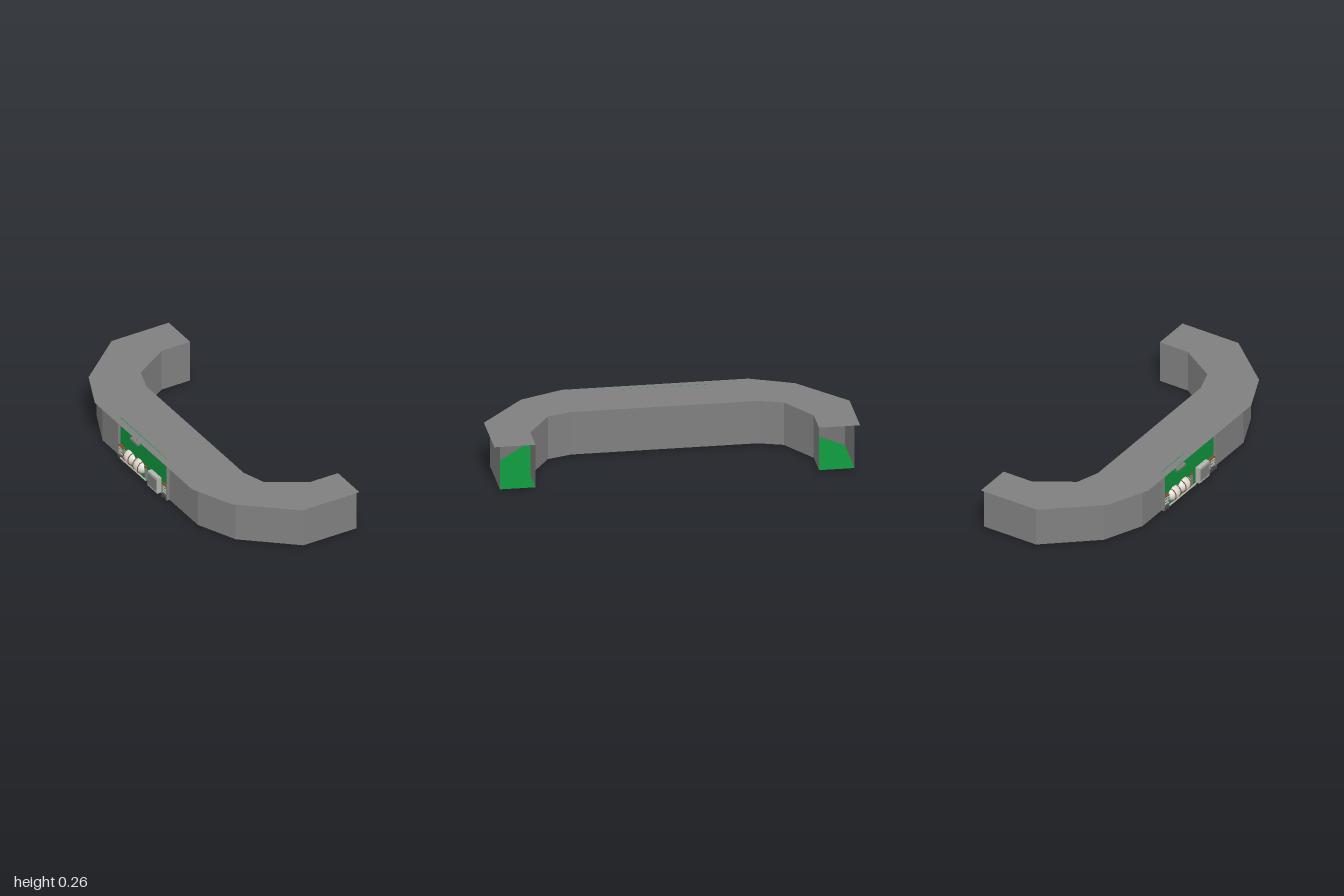
import * as THREE from 'three';

const mat = (name, color, side = THREE.FrontSide) => {
  const m = new THREE.MeshStandardMaterial({ color, side });
  m.name = name;
  return m;
};

export function createModel() {
  const root = new THREE.Group();
  root.name = 'curvedCorridor';
  const grey = mat('concreteGrey', 0x808080, THREE.DoubleSide);
  const green = mat('floorGreen', 0x0f8f3a, THREE.DoubleSide);
  const white = mat('tankWhite', 0xdcdcd8);
  const light = mat('cabinetGrey', 0xb4b4b0);
  const brown = mat('rustBrown', 0x8a4a22);
  const dark = mat('darkMetal', 0x4a4a4a);

  const add = (name, geo, m, x = 0, y = 0, z = 0, parent = root) => {
    const mesh = new THREE.Mesh(geo, m);
    mesh.name = name;
    mesh.position.set(x, y, z);
    parent.add(mesh);
    return mesh;
  };
  const box = (name, w, h, d, m, x, y, z, parent) =>
    add(name, new THREE.BoxGeometry(w, h, d), m, x, y, z, parent);

  const Y0 = 0.01, Y1 = 0.257;
  const OPEN_BACK = -0.31, OPEN_FRONT = 0.2, WALL_X = -0.337;

  // Half outlines in (x, z), from the open end to the straight middle
  const roofHalf = [[0.38, 1], [0.02, 1], [-0.275, 0.75], [-0.38, 0.51]];
  const outerHalf = [[0.38, 0.97], [0.045, 0.97], [-0.237, 0.73], [WALL_X, 0.5]];
  const innerHalf = [[0.38, 0.775], [0.2, 0.775], [-0.01, 0.645], [-0.055, 0.51]];
  const mirror = (pts) => pts.map(([x, z]) => [x, -z]);
  const full = (half) => [...half, ...mirror(half).reverse()];

  // Flat plate between an outer and the inner outline
  const plate = (half, y) => {
    const pts = [...full(half), ...full(innerHalf).reverse()];
    const geo = new THREE.ShapeGeometry(new THREE.Shape(pts.map(([x, z]) => new THREE.Vector2(x, z))));
    return geo.rotateX(-Math.PI / 2).translate(0, y, 0);
  };
  add('roof', plate(roofHalf, Y1), grey);
  add('floor', plate(outerHalf, Y0), green);

  // Vertical faceted wall along a path
  const wall = (name, path) => {
    const pos = [];
    for (let i = 0; i < path.length - 1; i++) {
      const [ax, az] = path[i], [bx, bz] = path[i + 1];
      pos.push(ax, Y0, az, bx, Y0, bz, bx, Y1, bz, ax, Y0, az, bx, Y1, bz, ax, Y1, az);
    }
    const geo = new THREE.BufferGeometry();
    geo.setAttribute('position', new THREE.Float32BufferAttribute(pos, 3));
    geo.computeVertexNormals();
    add(name, geo, grey);
  };
  wall('innerWall', full(innerHalf));
  wall('outerWallFront', [...outerHalf, [WALL_X, OPEN_FRONT]].reverse());
  wall('outerWallBack', [...mirror(outerHalf), [WALL_X, OPEN_BACK]]);

  // Green panel closing the wall opening, with a jamb on each side
  const mid = (OPEN_BACK + OPEN_FRONT) / 2;
  box('bayPanel', 0.004, Y1 - Y0, OPEN_FRONT - OPEN_BACK, green, WALL_X, (Y0 + Y1) / 2, mid);
  for (const z of [OPEN_BACK, OPEN_FRONT])
    box('bayJamb', 0.018, Y1 - Y0, 0.004, grey, -0.346, (Y0 + Y1) / 2, z);

  // Slatted railings at both ends of the bay
  for (const z of [-0.285, 0.172]) {
    const rail = new THREE.Group();
    rail.name = 'railing';
    root.add(rail);
    for (const s of [-1, 1]) box('railPost', 0.012, 0.085, 0.007, grey, -0.347, 0.052, z + s * 0.022, rail);
    for (const y of [0.045, 0.062, 0.079]) box('railSlat', 0.006, 0.006, 0.046, light, -0.35, y, z, rail);
    box('railCap', 0.014, 0.007, 0.052, brown, -0.347, 0.091, z, rail);
    box('railBase', 0.017, 0.02, 0.052, dark, -0.347, 0.02, z, rail);
  }

  // Pair of round-ended tanks with bands and saddles
  for (const z of [-0.2, -0.1]) {
    const tank = new THREE.Group();
    tank.name = 'tank';
    tank.position.set(WALL_X, 0.065, z);
    root.add(tank);
    const body = new THREE.SphereGeometry(1, 20, 14);
    add('tankBody', body.scale(0.038, 0.04, 0.056), white, 0, 0, 0, tank);
    for (const s of [-1, 1])
      add('tankBand', new THREE.TorusGeometry(0.036, 0.003, 6, 20), brown, 0, 0, s * 0.024, tank);
    box('tankSaddle', 0.03, 0.03, 0.012, dark, -0.002, -0.04, 0, tank);
  }
  const pipe = new THREE.CylinderGeometry(0.005, 0.005, 0.26, 10).rotateX(Math.PI / 2);
  add('feedPipe', pipe, light, -0.362, 0.03, -0.14);
  box('middlePost', 0.012, 0.085, 0.01, grey, -0.347, 0.052, -0.03);
  box('middlePostCap', 0.014, 0.007, 0.014, brown, -0.347, 0.097, -0.03);

  // Control cabinet
  box('cabinet', 0.03, 0.095, 0.1, light, -0.35, 0.06, 0.07);
  box('cabinetDoor', 0.004, 0.07, 0.08, grey, -0.366, 0.06, 0.07);

  // Wall lamp bracket and small feet below the floor
  box('lampBracket', 0.02, 0.012, 0.08, grey, -0.347, 0.2, -0.14);
  for (const z of [-0.26, 0, 0.14]) box('foot', 0.01, 0.014, 0.008, dark, -0.347, 0.007, z);

  return root;
}
